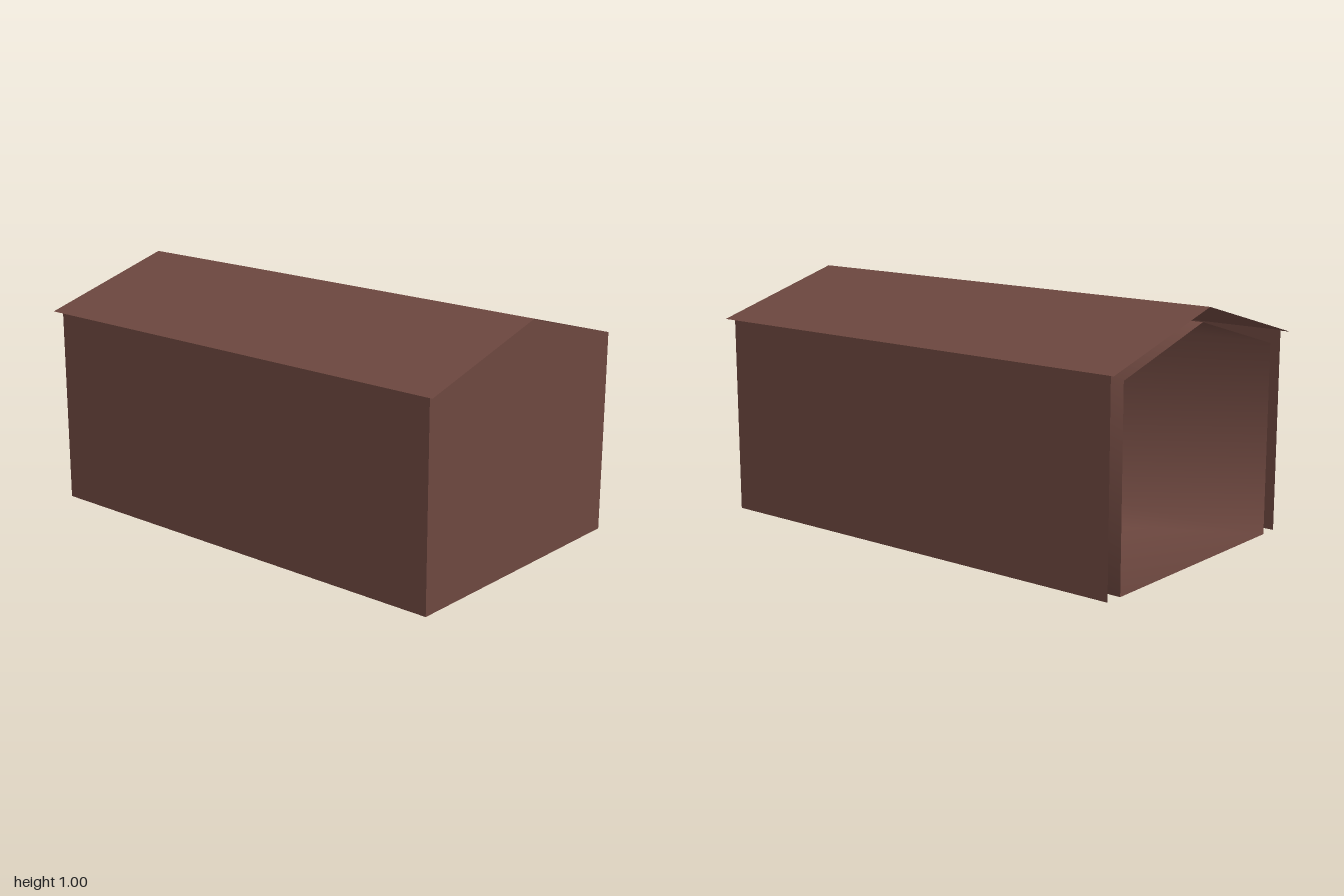
import * as THREE from 'three';

const RIDGE = 0.995, EAVE_Z = 0.608, EAVE_Y = 0.825;
const WALL_X = 0.97, WALL_Z = 0.583;
const roofY = z => RIDGE - (RIDGE - EAVE_Y) * Math.abs(z) / EAVE_Z;

const brown = new THREE.MeshStandardMaterial({ color: 0x6e4840, side: THREE.DoubleSide });
brown.name = 'brown';

// Pentagon of a gabled cross-section as [z, y] pairs
const gable = (halfWidth, wallTop, ridge) => [
  [-halfWidth, 0], [halfWidth, 0], [halfWidth, wallTop], [0, ridge], [-halfWidth, wallTop],
];

// Flat-shaded sheet through four corners, listed counter-clockwise from outside
function sheet(name, a, b, c, d) {
  const geometry = new THREE.BufferGeometry();
  geometry.setAttribute('position', new THREE.Float32BufferAttribute([a, b, c, d].flat(), 3));
  geometry.setIndex([0, 1, 2, 0, 2, 3]);
  geometry.computeVertexNormals();
  const mesh = new THREE.Mesh(geometry, brown);
  mesh.name = name;
  return mesh;
}

// Smooth inner lining: shared corners, open at one end, capped at the other
function lining() {
  const profile = gable(0.505, 0.79, 0.935);
  const n = profile.length;
  const positions = [], index = [];
  for (const x of [-WALL_X, 0.83]) for (const [z, y] of profile) positions.push(x, y, z);
  for (let i = 0; i < n; i++) {
    const j = (i + 1) % n;
    index.push(i, i + n, j, j, i + n, j + n);
  }
  for (let i = 1; i < n - 1; i++) index.push(n, n + i + 1, n + i);
  const geometry = new THREE.BufferGeometry();
  geometry.setAttribute('position', new THREE.Float32BufferAttribute(positions, 3));
  geometry.setIndex(index);
  geometry.computeVertexNormals();
  const mesh = new THREE.Mesh(geometry, brown);
  mesh.name = 'innerLining';
  return mesh;
}

export function createModel() {
  const group = new THREE.Group();
  group.name = 'shed';
  const top = roofY(WALL_Z);

  // Long walls and roof slopes, mirrored front to back
  for (const s of [1, -1]) {
    const side = s > 0 ? 'front' : 'back';
    group.add(sheet(side + 'Wall',
      [-s * WALL_X, 0, s * WALL_Z], [s * WALL_X, 0, s * WALL_Z],
      [s * WALL_X, top, s * WALL_Z], [-s * WALL_X, top, s * WALL_Z]));
    group.add(sheet(side + 'RoofSlope',
      [-s, EAVE_Y, s * EAVE_Z], [s, EAVE_Y, s * EAVE_Z], [s, RIDGE, 0], [-s, RIDGE, 0]));
  }

  // Closed gable end; the opposite end is left open
  const shape = new THREE.Shape(
    gable(WALL_Z, top, RIDGE - 0.002).map(([z, y]) => new THREE.Vector2(z, y)));
  const end = new THREE.Mesh(new THREE.ShapeGeometry(shape), brown);
  end.name = 'gableWall';
  end.rotation.y = Math.PI / 2;
  end.position.x = WALL_X;
  group.add(end);

  group.add(lining());
  return group;
}
